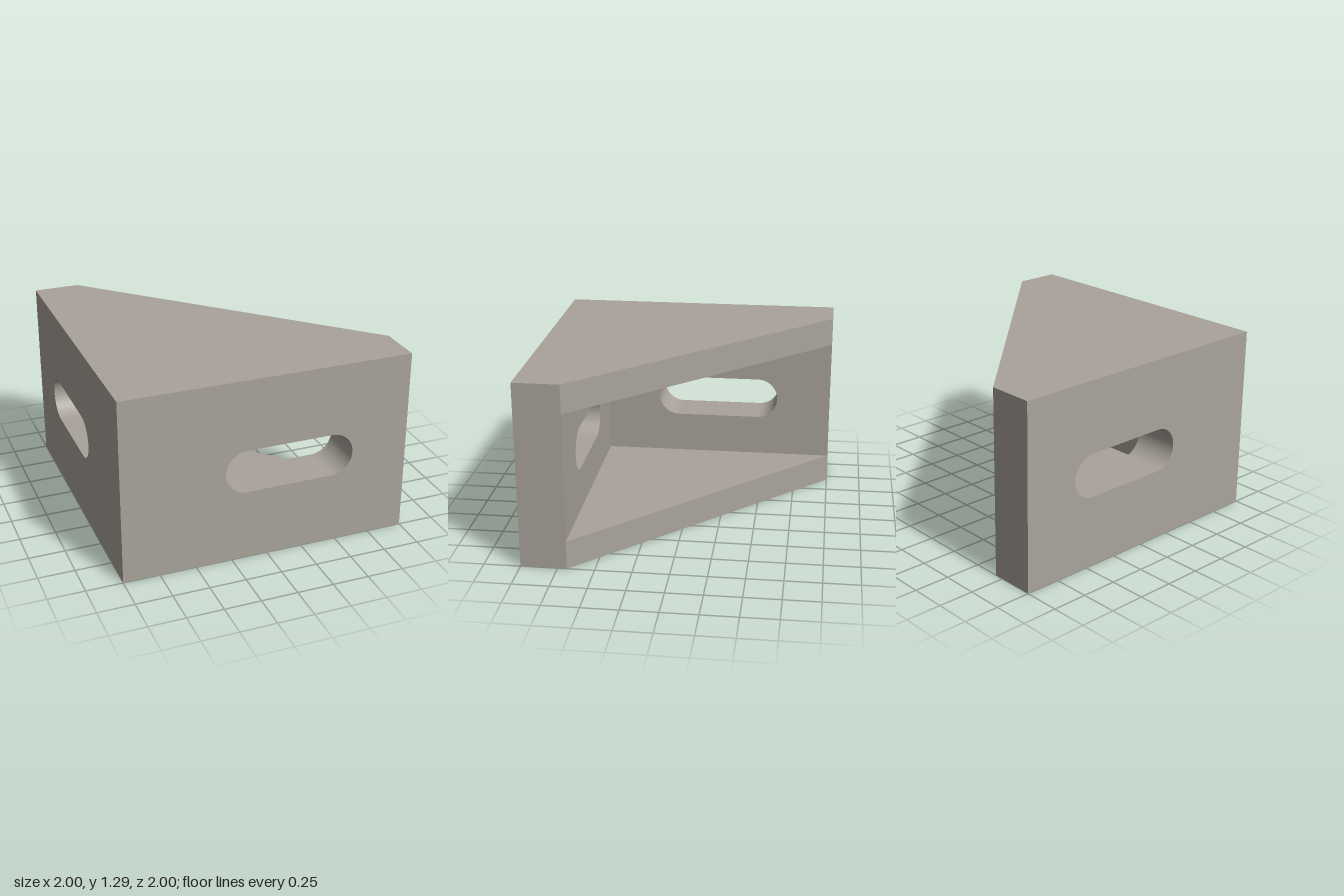
import * as THREE from 'three';

const H = 1.29;        // overall height
const T = 0.314;       // wall thickness
const PLATE = 0.2;     // gusset plate thickness
const INNER = 1 - T;   // inner face of the walls

// Rectangular wall from u = start to 1, with a rounded slot through it
function wallGeometry(start) {
  const shape = new THREE.Shape([
    new THREE.Vector2(start, 0), new THREE.Vector2(1, 0),
    new THREE.Vector2(1, H), new THREE.Vector2(start, H),
  ]);
  const r = 0.151, y = H / 2, left = -0.294 + r, right = 0.604 - r;
  const slot = new THREE.Path();
  slot.absarc(right, y, r, -Math.PI / 2, Math.PI / 2, false);
  slot.absarc(left, y, r, Math.PI / 2, Math.PI * 1.5, false);
  slot.closePath();
  shape.holes.push(slot);
  return new THREE.ExtrudeGeometry(shape, { depth: T, bevelEnabled: false, curveSegments: 24 });
}

// Triangular plate filling the corner between the two walls
function gussetGeometry() {
  const shape = new THREE.Shape([
    new THREE.Vector2(-INNER, -INNER), new THREE.Vector2(1, -INNER), new THREE.Vector2(-INNER, 1),
  ]);
  return new THREE.ExtrudeGeometry(shape, { depth: PLATE, bevelEnabled: false }).rotateX(-Math.PI / 2);
}

export function createModel() {
  const group = new THREE.Group();
  group.name = 'cornerBracket';
  const material = new THREE.MeshStandardMaterial({ color: 0xa9a39a }); // warm grey
  const add = (name, geometry, x, y, z) => {
    const mesh = new THREE.Mesh(geometry, material);
    mesh.name = name;
    mesh.position.set(x, y, z);
    group.add(mesh);
  };

  // Two slotted walls at a right angle
  add('frontWall', wallGeometry(-1), 0, 0, INNER);
  add('sideWall', wallGeometry(-INNER).rotateY(Math.PI / 2), -1, 0, 0);

  // Gusset plates closing the bottom and top
  add('bottomGusset', gussetGeometry(), 0, 0, 0);
  add('topGusset', gussetGeometry(), 0, H - PLATE, 0);

  return group;
}
